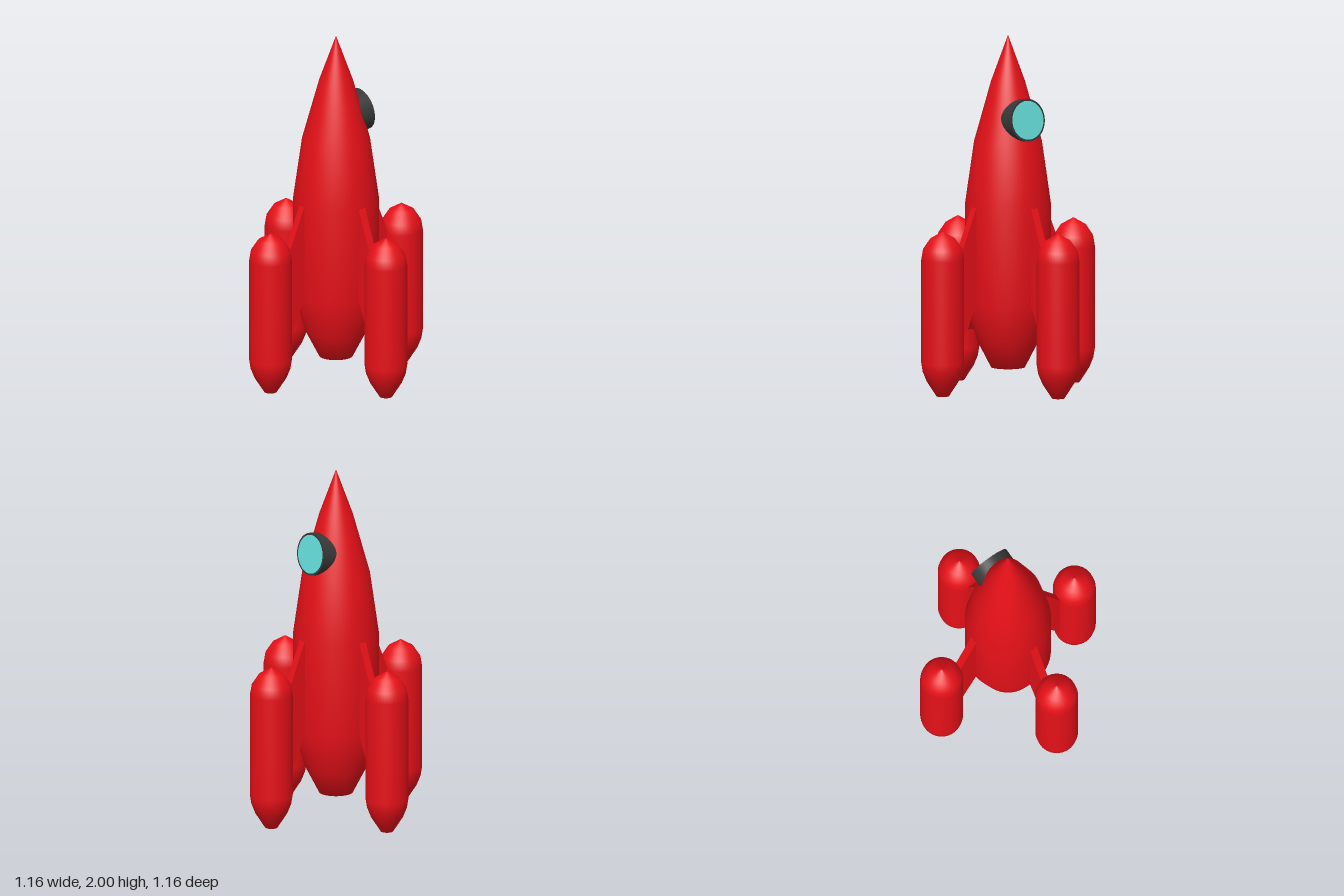
import * as THREE from 'three';

const red = new THREE.MeshStandardMaterial({ color: 0xe51018 });
const dark = new THREE.MeshStandardMaterial({ color: 0x383838 });
const glass = new THREE.MeshStandardMaterial({ color: 0x66e0dc });

function part(name, geometry, material) {
  const mesh = new THREE.Mesh(geometry, material);
  mesh.name = name;
  return mesh;
}

// Turned shape from [radius, height] pairs, listed bottom to top
function turned(profile, segments) {
  return new THREE.LatheGeometry(profile.map(([r, y]) => new THREE.Vector2(r, y)), segments);
}

export function createModel() {
  const rocket = new THREE.Group();
  rocket.name = 'rocket';

  // Hull
  rocket.add(part('hull', turned([
    [0, 0.125], [0.095, 0.125], [0.17, 0.27], [0.24, 0.5], [0.24, 1.05],
    [0.19, 1.4], [0.095, 1.74], [0, 2],
  ], 64), red));

  // Booster pods, each joined to the hull by a swept fin
  const podGeometry = turned([
    [0, 0], [0.035, 0], [0.09, 0.085], [0.112, 0.14], [0.12, 0.19], [0.12, 0.77],
    [0.11, 0.83], [0.07, 0.89], [0, 0.93],
  ], 40);
  const finShape = new THREE.Shape([
    [0.2, 0.58], [0.38, 0.22], [0.38, 0.71], [0.24, 1.045], [0.2, 1.045],
  ].map(([x, y]) => new THREE.Vector2(x, y)));
  const thickness = 0.045;
  const finGeometry = new THREE.ExtrudeGeometry(finShape, { depth: thickness, bevelEnabled: false });
  finGeometry.translate(0, 0, -thickness / 2);

  ['left', 'back', 'right', 'front'].forEach((side, i) => {
    const booster = new THREE.Group();
    booster.name = side + 'Booster';
    const pod = part('pod', podGeometry, red);
    pod.position.x = 0.46;
    booster.add(pod, part('fin', finGeometry, red));
    booster.rotation.y = i * Math.PI / 2;
    rocket.add(booster);
  });

  // Porthole on the left side, tilted slightly upward; its local y points outward
  const porthole = new THREE.Group();
  porthole.name = 'porthole';
  const frame = part('portholeFrame', new THREE.CylinderGeometry(0.12, 0.12, 0.14, 48), dark);
  frame.position.y = -0.07;
  const pane = part('portholeGlass', new THREE.CircleGeometry(0.109, 48).rotateX(-Math.PI / 2), glass);
  pane.position.y = 0.002;
  porthole.add(frame, pane);
  porthole.position.set(0.181, 1.538, 0);
  porthole.rotation.z = -Math.PI / 2 + 0.135;
  rocket.add(porthole);

  return rocket;
}
